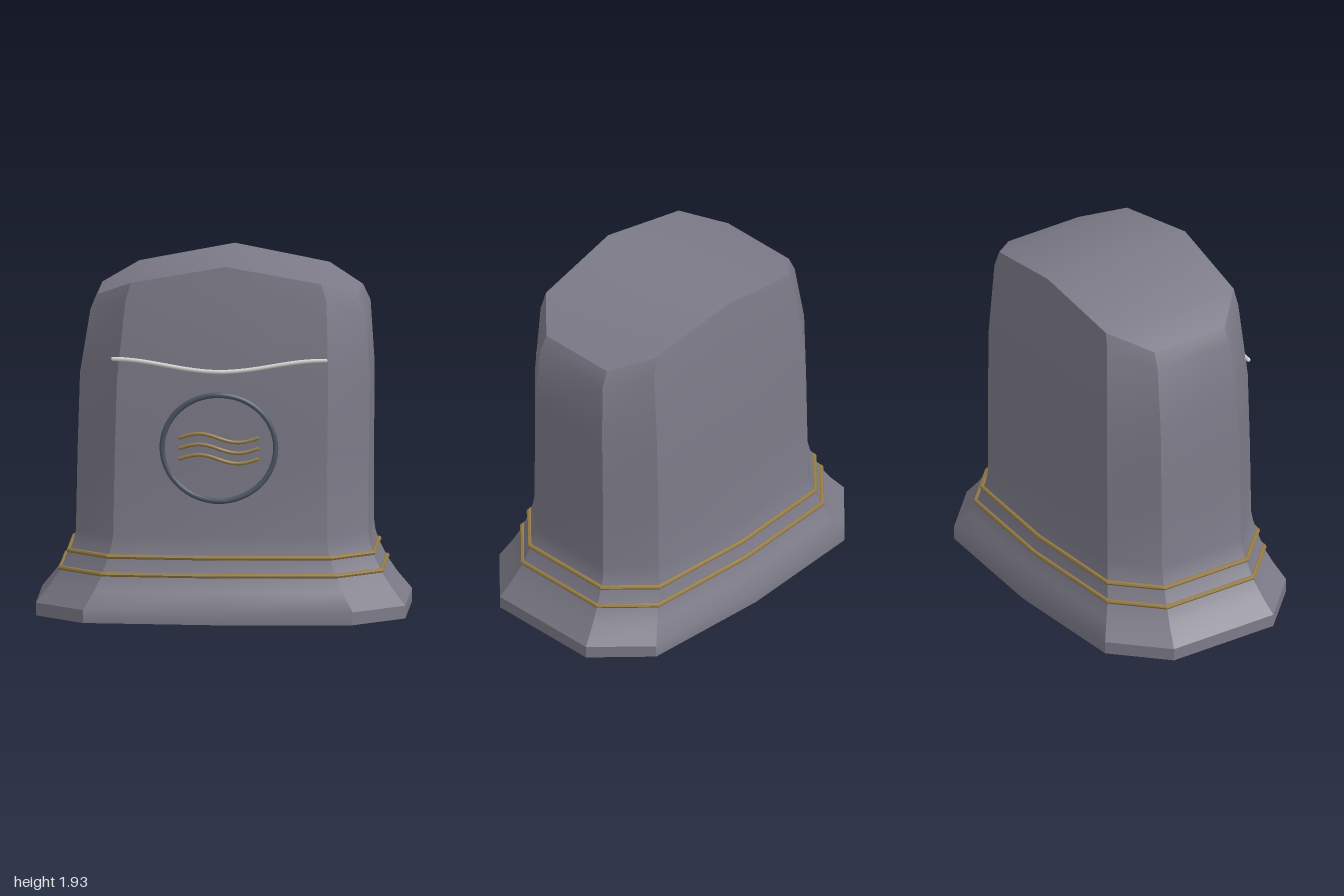
import * as THREE from 'three';
import { toCreasedNormals } from 'three/addons/utils/BufferGeometryUtils.js';

// Ten-sided plan, counter-clockwise from above: [x ratio, z ratio, crown lift]
const PLAN = [
  [1, 0.51, 0], [1, -0.51, 0], [0.73, -0.93, 0.09], [0, -1, 0.185], [-0.73, -0.93, 0.09],
  [-1, -0.51, 0], [-1, 0.51, 0], [-0.73, 0.93, 0.09], [0, 1, 0.185], [0.73, 0.93, 0.09],
];
const N = PLAN.length;

// Body levels: [y, half width, half depth, x shift, crown factor]
const LEVELS = [
  [0, 1, 0.635, 0, 0], [0.07, 1, 0.635, 0, 0], [0.17, 0.92, 0.583, 0, 0],
  [0.25, 0.868, 0.548, 0, 0], [0.35, 0.82, 0.523, 0, 0], [0.4, 0.803, 0.512, 0.002, 0],
  [0.46, 0.792, 0.503, 0.005, 0], [0.9, 0.788, 0.5, 0.01, 0], [1.32, 0.783, 0.494, 0.018, 0],
  [1.66, 0.745, 0.46, 0.035, 0.9], [1.745, 0.705, 0.448, 0.034, 1],
];

// Skin the plan through a list of levels
function loft(levels, capped) {
  const pos = [], idx = [];
  for (const [y, w, d, shift, crown] of levels) {
    for (const [px, pz, lift] of PLAN) pos.push(px * w + shift, y + lift * crown, pz * d);
  }
  const quad = (a, b, c, d) => idx.push(a, b, c, a, c, d);
  for (let r = 0; r < levels.length - 1; r++) {
    for (let i = 0; i < N; i++) {
      const j = (i + 1) % N;
      quad(r * N + i, r * N + j, (r + 1) * N + j, (r + 1) * N + i);
    }
  }
  if (capped) {
    const t = (levels.length - 1) * N;
    for (const [a, b, c, d] of [[0, 1, 2, 9], [9, 2, 3, 8], [8, 3, 4, 7], [7, 4, 5, 6]]) {
      quad(t + a, t + b, t + c, t + d);
      quad(d, c, b, a);
    }
  }
  const geo = new THREE.BufferGeometry();
  geo.setAttribute('position', new THREE.Float32BufferAttribute(pos, 3));
  geo.setIndex(idx);
  return toCreasedNormals(geo, 0.55);
}

// Depth of the front face, so that inlays follow it
function frontPoint(x, y, out) {
  const depth = y < 1.32 ? 0.503 - (y - 0.46) * 0.0105 : 0.494 - (y - 1.32) * 0.068;
  return new THREE.Vector3(x, y, depth * (1 - 0.096 * Math.abs(x) / 0.58) + out);
}

export function createModel() {
  const group = new THREE.Group();
  const mat = (name, color) => {
    const m = new THREE.MeshStandardMaterial({ color });
    m.name = name;
    return m;
  };
  const stone = mat('grey stone', 0x7c7a87);
  const gold = mat('dull gold', 0x927a45);
  const slate = mat('dark slate', 0x4b5564);
  const silver = mat('pale silver', 0xcfcfca);

  const add = (name, geo, material) => {
    const mesh = new THREE.Mesh(geo, material);
    mesh.name = name;
    group.add(mesh);
  };

  // Flared foot, leaning shaft and pitched crown
  add('stoneBody', loft(LEVELS, true), stone);

  // Gold bands round the foot
  const band = (name, y, w, d) => {
    const rows = [];
    for (let k = 0; k <= 8; k++) {
      const a = -Math.PI / 2 + (k / 8) * Math.PI * 2;
      const o = Math.cos(a) * 0.013;
      rows.push([y + Math.sin(a) * 0.013, w + o, d + o, 0, 0]);
    }
    add(name, loft(rows, false), gold);
  };
  band('lowerBand', 0.255, 0.867, 0.549);
  band('upperBand', 0.35, 0.824, 0.526);

  // Tube inlay along a function of t from 0 to 1
  const inlay = (name, fn, radius, material, out, closed = false) => {
    const pts = [], n = 32;
    for (let i = 0; i < (closed ? n : n + 1); i++) {
      const [x, y] = fn(i / n);
      pts.push(frontPoint(x, y, out));
    }
    const curve = new THREE.CatmullRomCurve3(pts, closed);
    add(name, new THREE.TubeGeometry(curve, 64, radius, 8, closed), material);
    if (closed) return;
    for (const p of [pts[0], pts[pts.length - 1]]) {
      const cap = new THREE.SphereGeometry(radius, 8, 6);
      cap.translate(p.x, p.y, p.z);
      add(name + 'End', cap, material);
    }
  };

  // Round emblem with three waves
  inlay('emblemRing', (t) => {
    const a = t * Math.PI * 2;
    return [Math.cos(a) * 0.307, 0.948 + Math.sin(a) * 0.289];
  }, 0.015, slate, 0.006, true);
  for (const [i, y] of [1.003, 0.945, 0.888].entries()) {
    inlay('emblemWave' + (i + 1), (t) => [
      -0.21 + t * 0.42, y + 0.023 * Math.sin(t * Math.PI * 2),
    ], 0.01, gold, 0.012);
  }

  // Pale sagging line above the emblem
  inlay('silverLine', (t) => [
    -0.575 + t * 1.15, 1.393 - 0.03 * Math.cos((t - 0.5) * Math.PI * 2),
  ], 0.012, silver, 0.008);

  return group;
}
